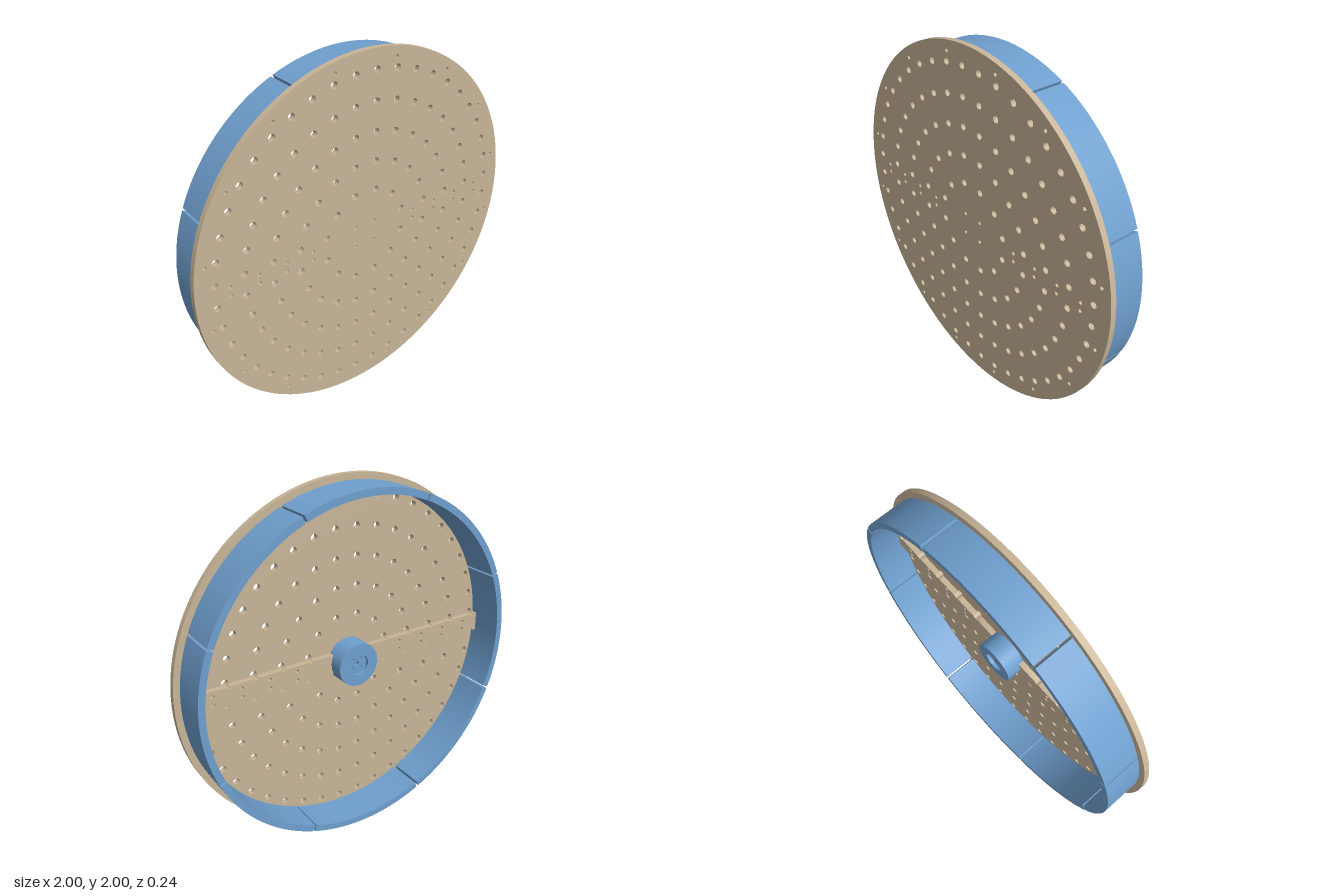
import * as THREE from 'three';
import { toCreasedNormals } from 'three/addons/utils/BufferGeometryUtils.js';

const tan = new THREE.MeshStandardMaterial({ color: 0xc8b598 });
tan.name = 'tan';
const blue = new THREE.MeshStandardMaterial({ color: 0x6f9fce });
blue.name = 'blue';

const HOLE = 0.019, SCREW = 0.0105;

// Points of a circle
function circle(x, y, r, n) {
  return Array.from({ length: n }, (_, i) => {
    const a = (i / n) * Math.PI * 2;
    return new THREE.Vector2(x + r * Math.cos(a), y + r * Math.sin(a));
  });
}

// Extrudes a shape from z0 to z1
function slab(name, shape, z0, z1, material) {
  const geo = new THREE.ExtrudeGeometry(shape, { depth: z1 - z0, bevelEnabled: false, curveSegments: 24 });
  const mesh = new THREE.Mesh(toCreasedNormals(geo, 0.6), material);
  mesh.name = name;
  mesh.position.z = z0;
  return mesh;
}

function discShape(r, n, holes) {
  const shape = new THREE.Shape(circle(0, 0, r, n));
  for (const [x, y, hr] of holes) shape.holes.push(new THREE.Path(circle(x, y, hr, 16)));
  return shape;
}

export function createModel() {
  const model = new THREE.Group();
  model.name = 'perforatedDrum';
  const body = new THREE.Group();
  body.name = 'drum';
  body.position.y = 1;
  model.add(body);

  // Five rings of drain holes; each ring has two more holes per quadrant
  const holes = [], bites = [];
  for (let k = 0; k < 5; k++) {
    const r = 0.2565 + 0.1595 * k, n = 4 * (3 + 2 * k);
    for (let i = 0; i < n; i++) {
      const a = ((i + 0.5) / n) * Math.PI * 2;
      holes.push([r * Math.cos(a), r * Math.sin(a), HOLE]);
    }
    bites.push([r * Math.cos(Math.PI / n), r * Math.sin(Math.PI / n)]);
  }

  // Screw holes for the rim, the bars and the hub
  for (let i = 0; i < 16; i++) {
    const a = ((i + 0.5) / 16) * Math.PI * 2;
    holes.push([0.947 * Math.cos(a), 0.947 * Math.sin(a), SCREW]);
  }
  const barScrews = [];
  for (let k = 0; k < 4; k++)
    for (const y of [-0.025, 0.025]) barScrews.push([0.335 + 0.1595 * k, y, SCREW]);
  for (const [x, y, r] of barScrews) holes.push([x, y, r], [-x, y, r]);
  for (const x of [-0.06, 0.06]) for (const y of [-0.06, 0.06]) holes.push([x, y, SCREW]);

  body.add(slab('facePlate', discShape(1, 128, holes), 0.088, 0.12, tan));

  // Rim of eight curved segments with narrow gaps
  for (let i = 0; i < 8; i++) {
    const a0 = (i - 0.5) * Math.PI / 4 + 0.0065, a1 = (i + 0.5) * Math.PI / 4 - 0.0065;
    const arc = new THREE.Shape();
    arc.absarc(0, 0, 0.965, a0, a1, false);
    arc.absarc(0, 0, 0.928, a1, a0, true);
    arc.closePath();
    body.add(slab('rimSegment' + (i + 1), arc, -0.12, 0.088, blue));
  }

  // Stiffening bars, scalloped where the drain holes pass
  const H = 0.055, X0 = 0.1, X1 = 0.925;
  const edge = [new THREE.Vector2(X0, -H)];
  for (const [x, y] of bites) {
    const t = Math.asin((y - H) / HOLE);
    for (let j = 0; j <= 8; j++) {
      const a = Math.PI - t - (j / 8) * (Math.PI - 2 * t);
      edge.push(new THREE.Vector2(x + HOLE * Math.cos(a), -y + HOLE * Math.sin(a)));
    }
  }
  edge.push(new THREE.Vector2(X1, -H));
  const outline = [...edge, ...edge.map(p => new THREE.Vector2(p.x, -p.y)).reverse()];
  const bar = new THREE.Shape(outline);
  for (const [x, y, r] of barScrews) bar.holes.push(new THREE.Path(circle(x, y, r, 16)));
  const leftBar = slab('leftBar', bar, 0.056, 0.088, tan);
  const rightBar = leftBar.clone();
  rightBar.name = 'rightBar';
  rightBar.rotation.z = Math.PI;
  body.add(leftBar, rightBar);

  // Hub with a round recess and small bores in its floor
  const bores = [[0, 0, 0.013]];
  for (let i = 0; i < 4; i++) {
    const a = (i + 0.5) * Math.PI / 2;
    bores.push([0.038 * Math.cos(a), 0.038 * Math.sin(a), 0.009]);
  }
  const hub = new THREE.Group();
  hub.name = 'hub';
  const rim = new THREE.Shape(circle(0, 0, 0.122, 64));
  rim.holes.push(new THREE.Path(circle(0, 0, 0.06, 48)));
  hub.add(
    slab('hubBase', discShape(0.122, 64, []), 0.03, 0.088, blue),
    slab('hubFloor', discShape(0.122, 64, bores), -0.005, 0.03, blue),
    slab('hubRim', rim, -0.025, -0.005, blue)
  );
  body.add(hub);

  return model;
}
